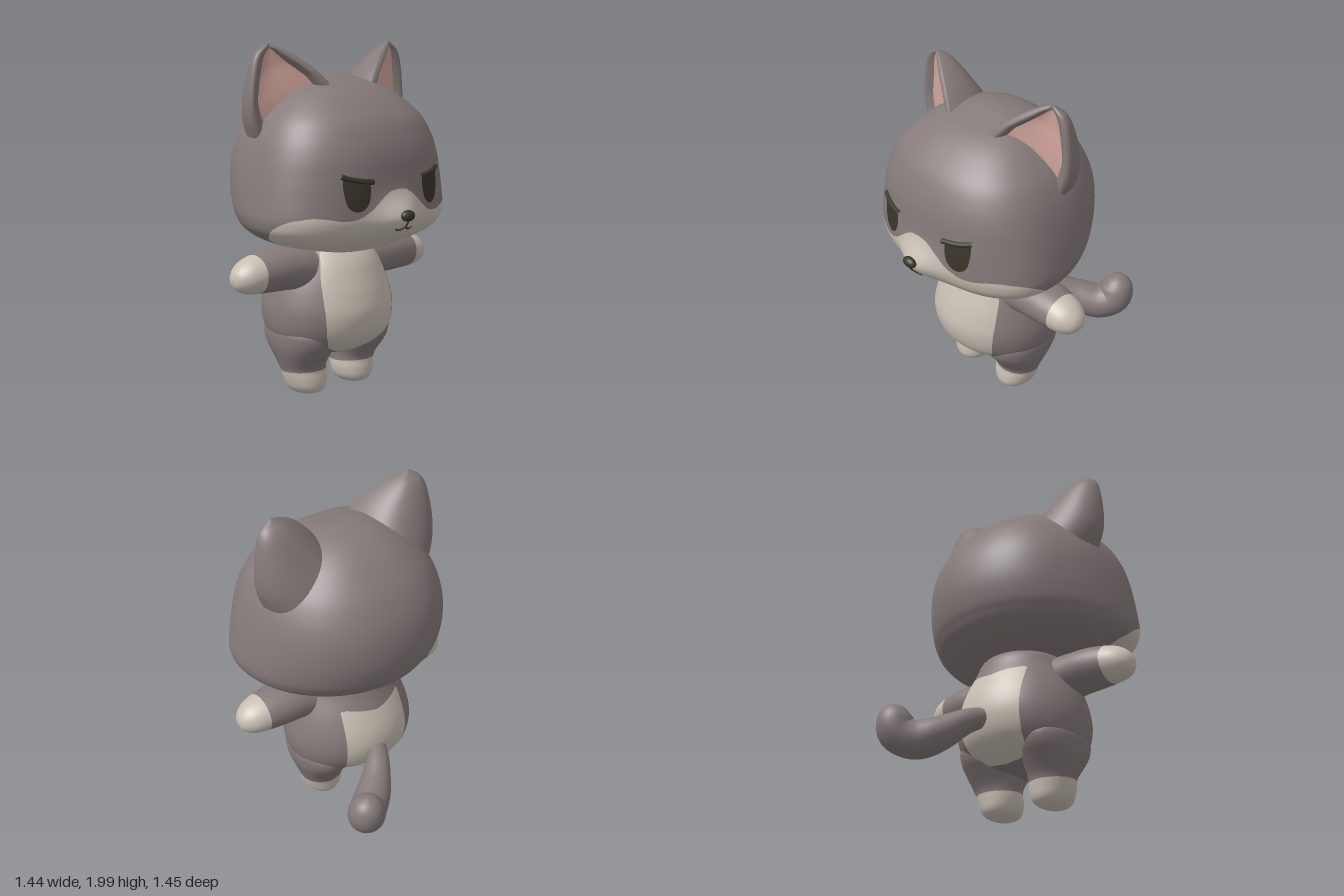
import * as THREE from 'three';
import { mergeVertices } from 'three/addons/utils/BufferGeometryUtils.js';

const material = (name, color) => {
  const m = new THREE.MeshStandardMaterial({ color });
  m.name = name;
  return m;
};

// Smooth curve through (xs, ys), clamped at both ends
const curve = (xs, ys) => {
  const c = new THREE.CubicInterpolant(xs, ys, 1);
  return x => c.evaluate(x)[0];
};

const smooth = g => {
  g.deleteAttribute('uv');
  g.deleteAttribute('normal');
  g = mergeVertices(g, 1e-5);
  g.computeVertexNormals();
  return g;
};

// Surface from fn(u, v) -> [x, y, z]; it faces along du x dv
function grid(fn, nu, nv) {
  const pos = [], idx = [];
  for (let i = 0; i <= nu; i++) for (let j = 0; j <= nv; j++) pos.push(...fn(i / nu, j / nv));
  for (let i = 0; i < nu; i++) for (let j = 0; j < nv; j++) {
    const a = i * (nv + 1) + j, b = a + nv + 1;
    idx.push(a, b, a + 1, b, b + 1, a + 1);
  }
  const g = new THREE.BufferGeometry();
  g.setAttribute('position', new THREE.Float32BufferAttribute(pos, 3));
  g.setIndex(idx);
  return smooth(g);
}

// Rounded body from rows of [y, half width, front z, back z, centre x]; mid places the
// widest line between front and back, nF and nB(y) square off the two halves
function body(rows, { mid = 0.5, nF = 2, nB = () => 2, bump = () => 0, nu = 56, nv = 64 } = {}) {
  const spline = new THREE.CubicInterpolant(rows.map((_, i) => i), rows.flat(), 5);
  return grid((u, v) => {
    const [y, w, zF, zB, cx] = spline.evaluate(u * (rows.length - 1));
    const zc = zF + mid * (zB - zF), a = (v % 1) * Math.PI * 2;
    const c = Math.cos(a), s = Math.sin(a), e = 2 / (s > 0 ? nF : nB(y));
    const x = w * Math.sign(c) * Math.abs(c) ** e;
    const z = zc + (s > 0 ? zF - zc : zB - zc) * Math.abs(s) ** e;
    return [cx + x, y, z + (z > 0.3 ? bump(x, y) : 0)];
  }, nu, nv);
}

// Cuts triangles along f = 0: group 0 where f < 0, group 1 where f > 0
function paint(geo, f) {
  const g = geo.toNonIndexed(), P = g.attributes.position, N = g.attributes.normal;
  const pos = [], nor = [], out = new THREE.BufferGeometry();
  [-1, 1].forEach((side, k) => {
    const start = pos.length / 3;
    for (let i = 0; i < P.count; i += 3) {
      const tri = [0, 1, 2].map(j => {
        const p = new THREE.Vector3().fromBufferAttribute(P, i + j);
        return { p, n: new THREE.Vector3().fromBufferAttribute(N, i + j), d: side * f(p.x, p.y, p.z) };
      });
      const poly = [];
      tri.forEach((a, j) => {
        const b = tri[(j + 1) % 3];
        if (a.d >= 0) poly.push(a);
        if ((a.d >= 0) !== (b.d >= 0)) {
          const t = a.d / (a.d - b.d);
          poly.push({ p: a.p.clone().lerp(b.p, t), n: a.n.clone().lerp(b.n, t).normalize() });
        }
      });
      for (let j = 1; j + 1 < poly.length; j++) for (const q of [poly[0], poly[j], poly[j + 1]]) {
        pos.push(...q.p.toArray());
        nor.push(...q.n.toArray());
      }
    }
    out.addGroup(start, pos.length / 3 - start, k);
  });
  out.setAttribute('position', new THREE.Float32BufferAttribute(pos, 3));
  out.setAttribute('normal', new THREE.Float32BufferAttribute(nor, 3));
  return out;
}

// Copy reflected in x, with the corner order turned round
function mirror(geo) {
  const g = geo.index ? geo.toNonIndexed() : geo.clone();
  for (const name of ['position', 'normal']) {
    const a = g.attributes[name].array;
    for (let i = 0; i < a.length; i += 9) for (let k = 0; k < 3; k++) {
      const t = a[i + 3 + k];
      a[i + 3 + k] = a[i + 6 + k];
      a[i + 6 + k] = t;
    }
    for (let i = 0; i < a.length; i += 3) a[i] *= -1;
  }
  return g;
}

export function createModel() {
  const model = new THREE.Group();
  const grey = material('greyFur', 0x857a79), cream = material('creamFur', 0xc8bfb3);
  const pink = material('pinkInnerEar', 0xd1a59c), dark = material('darkFace', 0x3a362c);
  pink.side = grey.side = THREE.DoubleSide;
  const add = (name, geo, mat) => {
    const m = new THREE.Mesh(geo, mat);
    m.name = name;
    model.add(m);
  };
  const pair = (name, geo, mat) => {
    add('left' + name, geo, mat);
    add('right' + name, mirror(geo), mat);
  };
  const path = pts => new THREE.CatmullRomCurve3(pts.map(p => new THREE.Vector3(...p)));

  // Head with muzzle bump and cream lower face
  const headRows = [
    [0.843, 0, 0.26, 0.26], [0.85, 0.14, 0.34, 0.12], [0.87, 0.27, 0.41, -0.08], [0.9, 0.41, 0.47, -0.2],
    [0.95, 0.54, 0.555, -0.3], [1, 0.6, 0.6, -0.37], [1.05, 0.62, 0.62, -0.405], [1.1, 0.622, 0.627, -0.43],
    [1.2, 0.61, 0.625, -0.452], [1.3, 0.592, 0.62, -0.453], [1.4, 0.568, 0.61, -0.437], [1.5, 0.533, 0.58, -0.4],
    [1.6, 0.475, 0.525, -0.34], [1.7, 0.37, 0.42, -0.245], [1.76, 0.28, 0.32, -0.165], [1.8, 0.18, 0.2, -0.085],
    [1.82, 0.1, 0.13, 0], [1.828, 0, 0.06, 0.06]].map(r => [...r, 0]);
  const bump = (x, y) => 0.075 * Math.exp(-((x / 0.135) ** 2) - ((y - 1.065) / 0.105) ** 2);
  const faceRow = new THREE.LinearInterpolant(headRows.map(r => r[0]), headRows.flat(), 5);
  const faceZ = (x, y) => {
    const [, w, zF, zB] = faceRow.evaluate(y), zc = zF + 0.4 * (zB - zF);
    return zc + (zF - zc) * (1 - Math.abs(x / w) ** 2.3) ** (1 / 2.3) + bump(x, y);
  };
  const maskX = curve([0, 0.06, 0.12, 0.2, 0.27, 0.35, 0.45, 0.52, 0.58, 0.65],
    [1.23, 1.222, 1.185, 1.12, 1.085, 1.08, 1.098, 1.1, 1.085, 1.07]);
  const maskZ = curve([0.16, 0.18, 0.2, 0.25, 0.3, 0.4, 0.5, 0.7], [0.8, 0.88, 0.94, 0.99, 1.03, 1.08, 1.11, 1.3]);
  add('head', paint(body(headRows, { mid: 0.4, nF: 2.3, nB: curve([0.9, 1, 1.2, 1.4, 1.6], [1.9, 1.95, 2.12, 2.3, 2.3]), bump, nu: 84, nv: 96 }),
    (x, y, z) => Math.min(maskX(Math.abs(x)), maskZ(z)) - y), [grey, cream]);

  // Torso with belly and back patches
  const belly = curve([0.255, 0.268, 0.295, 0.36, 0.45, 0.6, 0.72, 0.85, 0.95],
    [-0.05, 0.08, 0.165, 0.225, 0.25, 0.255, 0.24, 0.2, 0.18]);
  const back = curve([0.25, 0.262, 0.3, 0.38, 0.5, 0.6, 0.8], [-0.05, 0.09, 0.165, 0.2, 0.21, 0.21, 0.2]);
  const patch = (x, y, z) => z > 0 ? belly(y) - x : Math.min(back(y) - x, 0.735 + 0.15 * x - y);
  add('torso', paint(body([
    [0.232, 0, 0.05, 0.05], [0.24, 0.13, 0.17, -0.06], [0.27, 0.25, 0.27, -0.14], [0.33, 0.345, 0.355, -0.23],
    [0.4, 0.382, 0.4, -0.285], [0.5, 0.39, 0.42, -0.31], [0.6, 0.372, 0.405, -0.3], [0.7, 0.337, 0.375, -0.265],
    [0.8, 0.285, 0.335, -0.22], [0.88, 0.24, 0.27, -0.18], [0.92, 0.15, 0.2, -0.1], [0.93, 0, 0.05, 0.05],
  ].map(r => [...r, 0])), (x, y, z) => patch(Math.abs(x), y, z)), [grey, cream]);

  // Legs with cream feet, widening into the hips
  pair('Leg', paint(body([
    [0.008, 0, 0.07, 0.07, 0.18], [0.014, 0.05, 0.135, 0.01, 0.18], [0.03, 0.085, 0.177, -0.03, 0.18],
    [0.06, 0.111, 0.195, -0.05, 0.181], [0.11, 0.127, 0.195, -0.06, 0.184], [0.16, 0.133, 0.188, -0.07, 0.19],
    [0.2, 0.141, 0.205, -0.092, 0.197], [0.26, 0.157, 0.25, -0.135, 0.203], [0.32, 0.166, 0.285, -0.175, 0.208],
    [0.39, 0.162, 0.285, -0.18, 0.212], [0.46, 0.12, 0.2, -0.1, 0.21], [0.5, 0, 0.06, 0.06, 0.21],
  ], { nF: 2.1, nu: 48, nv: 36 }), (x, y, z) => 0.15 + 0.05 * (z - 0.07) - y), [grey, cream]);

  // Arms, built upright and turned sideways, with cream paws
  pair('Arm', paint(body([
    [0.13, 0, 0.1, 0.1, -0.76], [0.16, 0.13, 0.235, -0.035, -0.745], [0.23, 0.136, 0.245, -0.045, -0.747],
    [0.34, 0.122, 0.242, -0.042, -0.76], [0.45, 0.118, 0.238, -0.038, -0.762], [0.57, 0.107, 0.222, -0.02, -0.756],
    [0.65, 0.088, 0.2, 0.005, -0.748], [0.702, 0.048, 0.155, 0.05, -0.742], [0.718, 0, 0.1, 0.1, -0.74],
  ], { nu: 36, nv: 36 }).rotateZ(-Math.PI / 2), x => x - 0.57), [grey, cream]);

  // Tail: tube with changing thickness and a round end
  const tailPath = path([[0, 0.49, -0.24], [0.065, 0.45, -0.35], [0.17, 0.37, -0.46],
    [0.27, 0.335, -0.54], [0.335, 0.37, -0.605], [0.345, 0.44, -0.625], [0.343, 0.53, -0.63]]);
  const thick = curve([0, 0.25, 0.5, 0.7, 0.82, 0.9, 0.96, 0.99, 1], [0.05, 0.074, 0.102, 0.107, 0.106, 0.093, 0.062, 0.03, 0]);
  const tail = new THREE.TubeGeometry(tailPath, 48, 1, 24), tp = tail.attributes.position;
  for (let i = 0; i < tp.count; i++) {
    const t = Math.floor(i / 25) / 48, c = tailPath.getPointAt(t);
    const p = new THREE.Vector3().fromBufferAttribute(tp, i).sub(c).multiplyScalar(thick(t)).add(c);
    tp.setXYZ(i, p.x, p.y, p.z);
  }
  add('tail', smooth(tail), grey);

  // Ears: sections between an inner and an outer edge, bulging straight back, with a raised rim
  const edgeIn = path([[0.1, 1.71, 0.28], [0.22, 1.85, 0.215], [0.35, 1.95, 0.14], [0.45, 2, 0.09]]);
  const edgeOut = path([[0.5, 1.42, 0.07], [0.57, 1.6, 0.07], [0.57, 1.78, 0.07], [0.53, 1.94, 0.08], [0.45, 2, 0.09]]);
  const facing = new THREE.Vector3(0.46, 0, 0.89), rear = new THREE.Vector3(-0.1, 0, -1);
  const earPoint = (t, s, dir, e) => edgeIn.getPoint(t).lerp(edgeOut.getPoint(t), (s + 1) / 2).addScaledVector(dir, e).toArray();
  const opening = t => 0.7 * Math.sqrt(Math.min(1, Math.max(0, (0.84 - t) / 0.5)));
  const taper = t => Math.min(1, (1 - t) * 2.2);
  const rim = (t, k) => [opening(t) + (1 - opening(t)) * k, taper(t) * (0.022 * Math.sin(Math.PI * k) - 0.022 * (1 - k) ** 2)];
  pair('Ear', grid((t, v) => {
    if (v < 0.25 || v > 0.75) {
      const [s, e] = rim(t, v < 0.25 ? v * 4 : (1 - v) * 4);
      return earPoint(t, v < 0.25 ? -s : s, facing, e);
    }
    const a = (v - 0.25) * 2 * Math.PI, c = Math.cos(a), s = -Math.sign(c) * Math.abs(c) ** 0.85;
    return earPoint(t, s, rear, 0.35 * (1 - t) ** 1.05 * (1 - 0.2 * s) * Math.abs(Math.sin(a)) ** 0.85);
  }, 32, 56), grey);
  pair('InnerEar', grid((t, v) => {
    const s = 1 - 2 * v, k = t * 0.84;
    return earPoint(k, s * opening(k), facing, -taper(k) * (0.021 + 0.012 * (1 - s * s)));
  }, 24, 12), pink);

  // Eyes: thin plates that follow the face, under slanted brows
  const eye = path([[0.342, 1.305, 0], [0.27, 1.29, 0], [0.2, 1.275, 0], [0.198, 1.2, 0], [0.222, 1.147, 0],
    [0.272, 1.124, 0], [0.322, 1.148, 0], [0.344, 1.21, 0]]);
  eye.closed = true;
  pair('Eye', grid((r, v) => {
    const p = eye.getPoint(v % 1), x = 0.27 + (p.x - 0.27) * r, y = 1.21 + (p.y - 1.21) * r;
    return [x, y, faceZ(x, y) + 0.005 + 0.004 * (1 - r * r)];
  }, 8, 40), dark);
  const line = (pts, r) => new THREE.TubeGeometry(path(pts.map(([x, y]) => [x, y, faceZ(x, y) + 0.004])), 16, r, 8);
  pair('Brow', line([[0.175, 1.278], [0.25, 1.287], [0.32, 1.302], [0.355, 1.316]], 0.015), dark);

  // Nose and mouth
  add('nose', new THREE.SphereGeometry(1, 24, 16).scale(0.046, 0.031, 0.028).translate(0, 1.09, 0.7), dark);
  add('mouthStem', line([[0, 1.07], [0, 1.05], [0, 1.03]], 0.005), dark);
  pair('Mouth', line([[0, 1.033], [0.018, 1.017], [0.04, 1.012], [0.06, 1.02]], 0.005), dark);

  return model;
}
